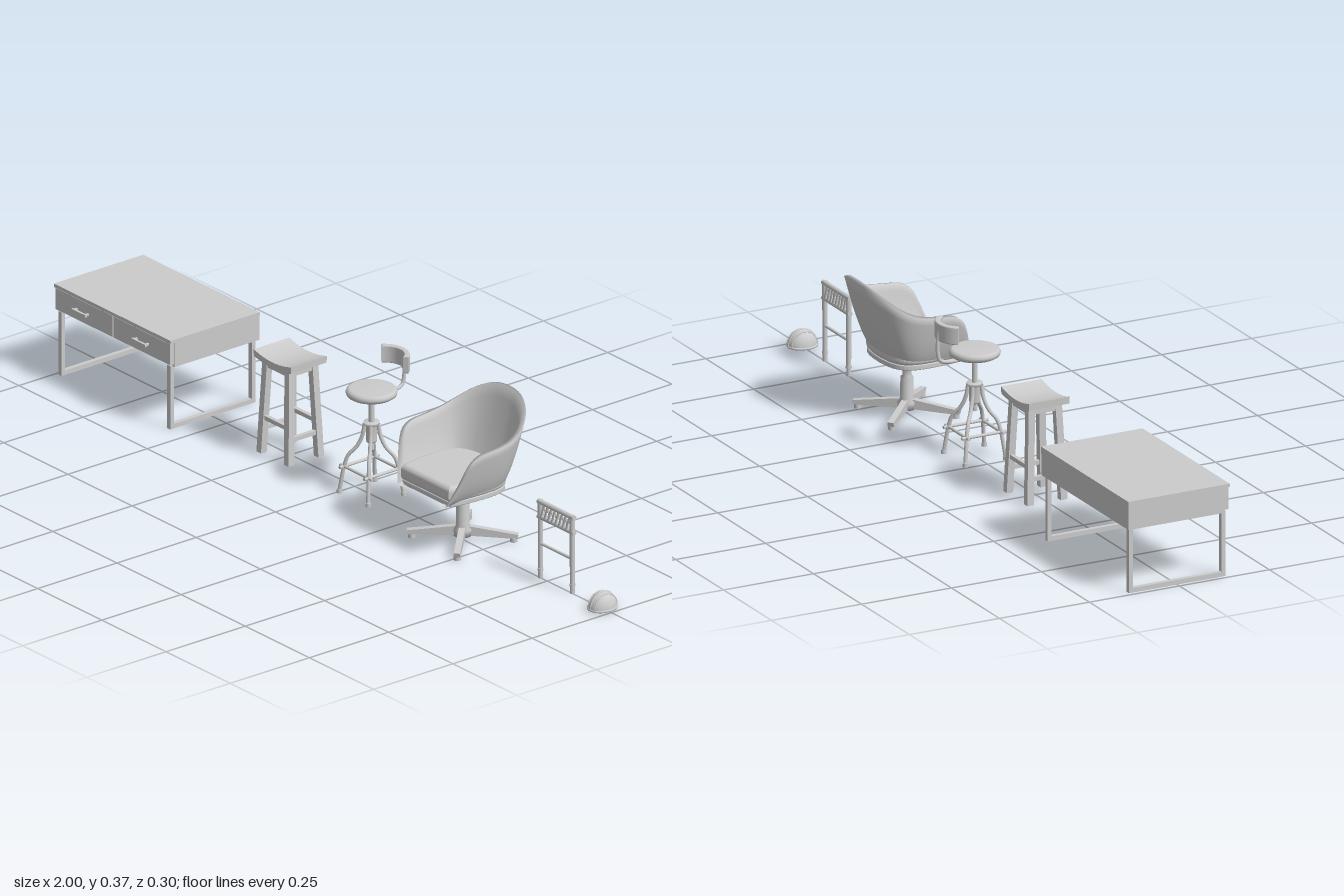
import * as THREE from 'three';

const mat = new THREE.MeshStandardMaterial({ color: 0xcccccc, side: THREE.DoubleSide });
const V = (x, y, z) => new THREE.Vector3(x, y, z);
const UP = V(0, 1, 0);

function add(parent, name, geo, x = 0, y = 0, z = 0) {
  const m = new THREE.Mesh(geo, mat);
  m.name = name;
  m.position.set(x, y, z);
  parent.add(m);
  return m;
}
// Box given by its min and max corners
function box(parent, name, x0, x1, y0, y1, z0, z1) {
  return add(parent, name, new THREE.BoxGeometry(x1 - x0, y1 - y0, z1 - z0), (x0 + x1) / 2, (y0 + y1) / 2, (z0 + z1) / 2);
}
function between(mesh, a, b) {
  mesh.position.copy(a).add(b).multiplyScalar(0.5);
  mesh.quaternion.setFromUnitVectors(UP, b.clone().sub(a).normalize());
  return mesh;
}
const rod = (parent, name, a, b, r, r2 = r) =>
  between(add(parent, name, new THREE.CylinderGeometry(r2, r, a.distanceTo(b), 16)), a, b);
const bar = (parent, name, a, b, w, d = w) =>
  between(add(parent, name, new THREE.BoxGeometry(w, a.distanceTo(b), d)), a, b);
const tube = (parent, name, pts, r) =>
  add(parent, name, new THREE.TubeGeometry(new THREE.CatmullRomCurve3(pts), 28, r, 10));
const lathe = (parent, name, pts) =>
  add(parent, name, new THREE.LatheGeometry(pts.map(p => new THREE.Vector2(...p)), 32));

function group(root, name, x, z = 0) {
  const g = new THREE.Group();
  g.name = name;
  g.position.set(x, 0, z);
  root.add(g);
  return g;
}
const corners = [[1, 1], [1, -1], [-1, -1], [-1, 1]];

function desk(root) {
  const g = group(root, 'desk', -0.7725);
  box(g, 'deskTop', -0.2275, 0.2275, 0.233, 0.242, -0.142, 0.14);
  box(g, 'deskBody', -0.2265, 0.2265, 0.168, 0.233, -0.141, 0.126);
  for (const s of [-1, 1]) {
    const c = s * 0.113;
    box(g, 'drawerFront', c - 0.111, c + 0.111, 0.175, 0.231, 0.126, 0.138);
    box(g, 'drawerHandle', s * 0.117 - 0.027, s * 0.117 + 0.027, 0.2, 0.207, 0.147, 0.153);
    for (const e of [-1, 1])
      box(g, 'handlePost', s * 0.117 + e * 0.022 - 0.003, s * 0.117 + e * 0.022 + 0.003, 0.201, 0.206, 0.137, 0.149);
    // Rectangular loop leg
    const x0 = s * 0.212 - 0.006, x1 = s * 0.212 + 0.006;
    box(g, 'frontLeg', x0, x1, 0, 0.17, 0.122, 0.133);
    box(g, 'backLeg', x0, x1, 0, 0.17, -0.135, -0.124);
    box(g, 'floorRail', x0, x1, 0, 0.012, -0.125, 0.123);
  }
}

function saddleStool(root) {
  const g = group(root, 'saddleStool', -0.255, -0.003);
  const s = new THREE.Shape();
  s.moveTo(-0.072, 0.252);
  s.quadraticCurveTo(0, 0.236, 0.072, 0.252);
  s.lineTo(0.073, 0.27);
  s.quadraticCurveTo(0, 0.248, -0.073, 0.27);
  s.closePath();
  add(g, 'saddleSeat', new THREE.ExtrudeGeometry(s, { depth: 0.113, bevelEnabled: false, curveSegments: 20 }), 0, 0, -0.0565);
  const at = (sx, sz, y) => V(sx * (0.054 - 0.045 * y), y, sz * (0.047 - 0.04 * y));
  corners.forEach(([sx, sz], i) => {
    bar(g, 'stoolLeg', at(sx, sz, 0), at(sx, sz, 0.25), 0.018);
    const [nx, nz] = corners[(i + 1) % 4];
    const y = sx === nx ? 0.065 : 0.095;
    bar(g, 'stretcher', at(sx, sz, y), at(nx, nz, y), 0.011);
    bar(g, 'apron', at(sx, sz, 0.238), at(nx, nz, 0.238), 0.014);
  });
}

function swivelStool(root) {
  const g = group(root, 'swivelStool', 0.063, -0.002);
  lathe(g, 'roundSeat', [[0, 0.263], [0.056, 0.263], [0.062, 0.267], [0.064, 0.274], [0.061, 0.281], [0.054, 0.284], [0, 0.284]]);
  lathe(g, 'seatPlate', [[0, 0.255], [0.03, 0.255], [0.036, 0.264]]);
  rod(g, 'screwColumn', V(0, 0.12, 0), V(0, 0.262, 0), 0.007);
  lathe(g, 'screwCollar', [[0, 0.14], [0.012, 0.14], [0.014, 0.145], [0.014, 0.185], [0.02, 0.187], [0.02, 0.194], [0, 0.194]]);
  corners.forEach(([sx, sz], i) => {
    tube(g, 'bentLeg', [[0.012, 0.188], [0.016, 0.155], [0.026, 0.125], [0.04, 0.103], [0.047, 0.075], [0.056, 0.006]]
      .map(([d, y]) => V(sx * d, y, sz * d)), 0.005);
    rod(g, 'footPad', V(sx * 0.056, 0, sz * 0.056), V(sx * 0.056, 0.01, sz * 0.056), 0.007);
    const [nx, nz] = corners[(i + 1) % 4];
    const ext = 0.062, o = 0.048;
    rod(g, 'footRail', sx === nx ? V(sx * o, 0.071, ext) : V(ext, 0.071, sz * o),
      sx === nx ? V(sx * o, 0.071, -ext) : V(-ext, 0.071, nz * o), 0.004);
  });
  // Curved backrest on a bent strap
  const s = new THREE.Shape();
  s.absarc(0, 0.04, 0.06, Math.PI / 2 - 0.95, Math.PI / 2 + 0.95, false);
  s.absarc(0, 0.04, 0.052, Math.PI / 2 + 0.95, Math.PI / 2 - 0.95, true);
  const back = add(g, 'backrest', new THREE.ExtrudeGeometry(s,
    { depth: 0.04, bevelSize: 0.003, bevelThickness: 0.003, bevelSegments: 3, curveSegments: 24 }), 0, 0.321, 0);
  back.rotation.x = -Math.PI / 2;
  tube(g, 'backStrap', [V(0, 0.26, -0.02), V(0, 0.259, -0.075), V(0, 0.266, -0.096), V(0, 0.29, -0.103), V(0, 0.345, -0.1)], 0.005);
}

function armchair(root) {
  const g = group(root, 'armchair', 0.421);
  // Half outlines from front to back: rim height curve and lower bend
  const rimHalf = [[0.095, 0.153, 0.129], [0.115, 0.2, 0.112], [0.137, 0.265, 0.085], [0.143, 0.283, 0.06], [0.145, 0.29, 0],
    [0.141, 0.298, -0.045], [0.129, 0.315, -0.083], [0.098, 0.343, -0.12], [0.052, 0.364, -0.143], [0, 0.37, -0.149]];
  const bendHalf = [[0.098, 0.126], [0.105, 0.112], [0.111, 0.085], [0.115, 0.055], [0.117, 0],
    [0.113, -0.035], [0.1, -0.062], [0.073, -0.08], [0.038, -0.088], [0, -0.09]].map(([x, z]) => [x, 0.148, z]);
  const mirror = half => [...half, ...half.slice(0, -1).reverse().map(([x, y, z]) => [-x, y, z])].map(p => V(...p));
  const rim = new THREE.CatmullRomCurve3(mirror(rimHalf));
  const bend = new THREE.CatmullRomCurve3(mirror(bendHalf));
  // Shell: each section runs up the outside, over the rim and down the inside
  const N = 80, M = 14, row = 2 * (M + 1), pos = [], idx = [];
  for (let i = 0; i <= N; i++) {
    const T = rim.getPoint(i / N), B = bend.getPoint(i / N);
    const F = V(B.x * 0.75, 0.148, B.z > 0 ? B.z : B.z * 0.6);
    const curve = new THREE.QuadraticBezierCurve3(F, B, T);
    const inward = V(-T.x, 0, 0.02 - T.z).normalize().multiplyScalar(0.011);
    for (let j = 0; j < row; j++) {
      const p = curve.getPoint((j <= M ? j : row - 1 - j) / M);
      if (j > M) p.add(inward).setY(p.y + 0.002);
      pos.push(p.x, p.y, p.z);
    }
    for (let j = 0; i < N && j < row - 1; j++) {
      const a = i * row + j, b = a + row;
      idx.push(a, a + 1, b, b, a + 1, b + 1);
    }
  }
  const shell = new THREE.BufferGeometry();
  shell.setAttribute('position', new THREE.Float32BufferAttribute(pos, 3));
  shell.setIndex(idx);
  shell.computeVertexNormals();
  add(g, 'chairShell', shell);
  // Floor and cushion share the lower outline
  const pad = (name, k, y, h, bevel) => {
    const s = new THREE.Shape(bend.getPoints(48).map(p => new THREE.Vector2(p.x * k, -p.z * k)));
    add(g, name, new THREE.ExtrudeGeometry(s, { depth: h - 2 * bevel, bevelSize: bevel, bevelThickness: bevel, bevelOffset: -bevel, bevelSegments: 5 }),
      0, y + bevel, 0).rotation.x = -Math.PI / 2;
  };
  pad('seatFloor', 0.93, 0.148, 0.014, 0.003);
  pad('seatCushion', 0.95, 0.158, 0.043, 0.014);
  // Pedestal with four tapering diagonal feet
  lathe(g, 'pedestal', [[0, 0.012], [0.022, 0.012], [0.024, 0.03], [0.017, 0.04], [0.016, 0.095], [0.011, 0.097], [0.011, 0.132], [0.034, 0.137], [0.041, 0.149], [0, 0.149]]);
  const foot = new THREE.Shape([[0, 0.014], [0.135, 0.01], [0.138, 0.021], [0.02, 0.038], [0, 0.038]].map(p => new THREE.Vector2(...p)));
  for (let i = 0; i < 4; i++) {
    const arm = new THREE.Group();
    arm.name = 'starFoot';
    arm.rotation.y = Math.PI / 4 + i * Math.PI / 2;
    g.add(arm);
    add(arm, 'footArm', new THREE.ExtrudeGeometry(foot, { depth: 0.016, bevelEnabled: false }), 0, 0, -0.008);
    rod(arm, 'glide', V(0.126, 0, 0), V(0.126, 0.012, 0), 0.009);
  }
}

function wovenFrame(root) {
  const g = group(root, 'wovenFrame', 0.786);
  for (const s of [-1, 1]) {
    rod(g, 'post', V(s * 0.062, 0, 0), V(s * 0.062, 0.208, 0), 0.006, 0.007);
    rod(g, 'postRing', V(s * 0.062, 0.02, 0), V(s * 0.062, 0.026, 0), 0.0075);
  }
  rod(g, 'lowerRail', V(-0.062, 0.092, 0), V(0.062, 0.092, 0), 0.004);
  for (const y of [0.163, 0.203]) rod(g, 'seatRail', V(-0.07, y, 0), V(0.07, y, 0), 0.0065);
  // Cords crossing between the rails
  for (let i = 0; i < 8; i++) {
    const x = -0.056 + i * 0.014;
    rod(g, 'cord', V(x, 0.163, 0.004), V(x + 0.014, 0.203, 0.004), 0.0028);
    rod(g, 'cord', V(x + 0.014, 0.163, -0.004), V(x, 0.203, -0.004), 0.0028);
  }
}

function helmet(root) {
  const g = group(root, 'helmet', 0.966);
  add(g, 'dome', new THREE.SphereGeometry(1, 36, 18, 0, Math.PI * 2, 0, Math.PI / 2), 0, 0.003, 0).scale.set(0.031, 0.042, 0.039);
  const brim = add(g, 'brim', new THREE.TorusGeometry(0.92, 0.08, 8, 40), 0, 0.004, 0);
  brim.rotation.x = Math.PI / 2;
  brim.scale.set(0.034, 0.041, 0.04);
  // Ridges running front to back over the dome
  for (const x of [-0.012, 0, 0.012]) {
    const k = Math.sqrt(1 - (x / 0.031) ** 2), pts = [];
    for (let i = 0; i <= 12; i++) {
      const a = Math.PI * i / 12;
      pts.push(V(x, 0.003 + 0.042 * k * Math.sin(a), 0.039 * k * Math.cos(a)));
    }
    tube(g, 'ridge', pts, 0.002);
  }
}

export function createModel() {
  const root = new THREE.Group();
  root.name = 'furnitureSet';
  [desk, saddleStool, swivelStool, armchair, wovenFrame, helmet].forEach(build => build(root));
  return root;
}
